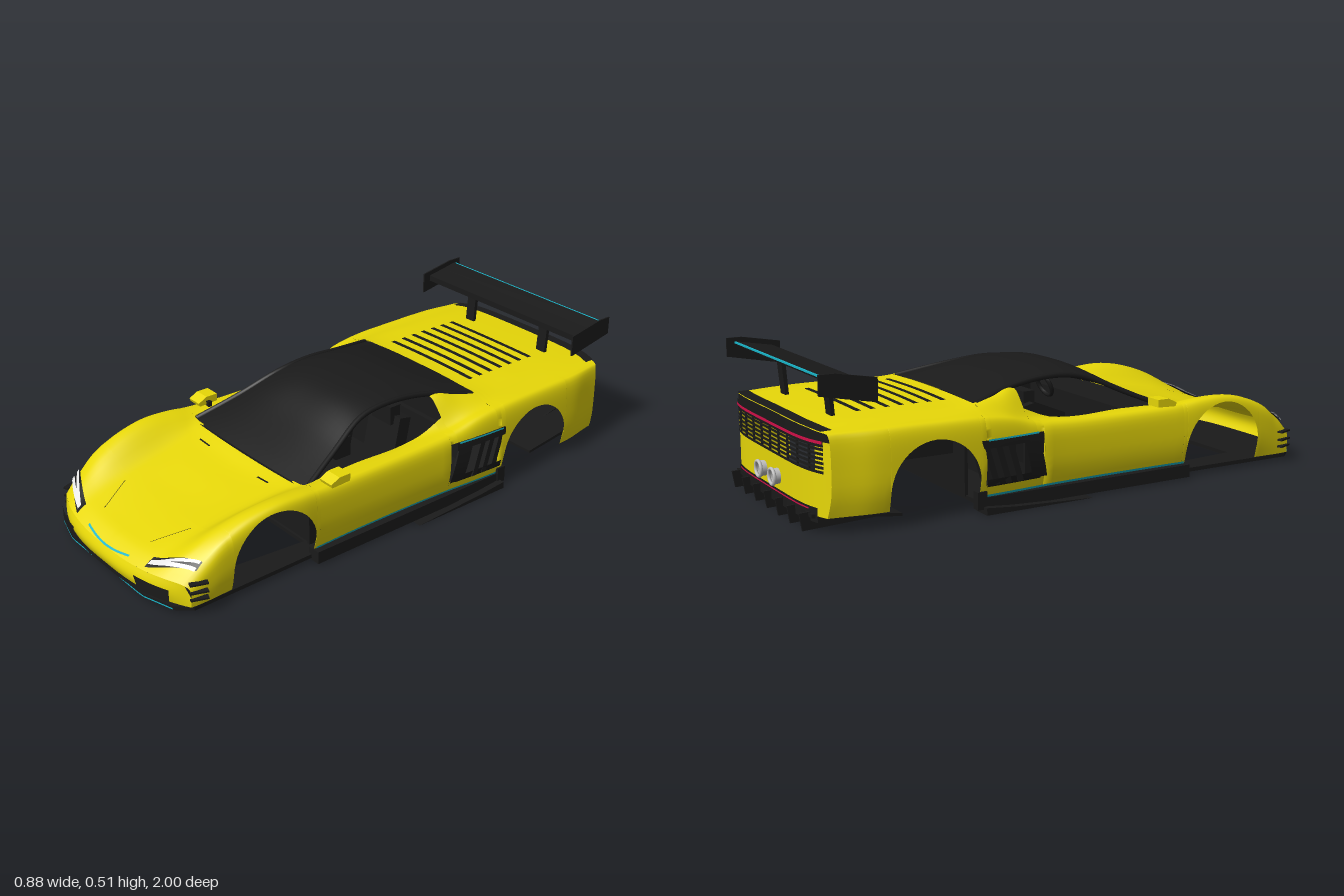
import * as THREE from 'three';

const mat = (name, color) => {
  const m = new THREE.MeshStandardMaterial({ color, side: THREE.DoubleSide });
  m.name = name;
  return m;
};
const yellow = mat('yellow paint', 0xe8d808), black = mat('black trim', 0x1a1a1a), cyan = mat('cyan accent', 0x18b4c8);
const red = mat('red light', 0xd01048), white = mat('white light', 0xe6e6e6), grey = mat('exhaust metal', 0xc0c0c0);

// Body stations: z, half width, fender crest x, crest y, inner x, inner y, centre y
const STATIONS = [
  [-0.97, 0.395, 0.37, 0.328, 0.28, 0.335, 0.338], [-0.8, 0.42, 0.38, 0.33, 0.28, 0.342, 0.345],
  [-0.6, 0.425, 0.38, 0.33, 0.28, 0.345, 0.35], [-0.4, 0.425, 0.38, 0.325, 0.30, 0.345, 0.352],
  [-0.3, 0.42, 0.375, 0.312, 0.275, 0.36, 0.36], [-0.2, 0.412, 0.36, 0.285, 0.255, 0.372, 0.37],
  [-0.1, 0.405, 0.355, 0.275, 0.26, 0.275, 0.27], [0.2, 0.40, 0.355, 0.27, 0.28, 0.27, 0.26],
  [0.4, 0.405, 0.36, 0.275, 0.29, 0.257, 0.25], [0.48, 0.41, 0.365, 0.283, 0.255, 0.24, 0.228],
  [0.58, 0.41, 0.365, 0.286, 0.24, 0.222, 0.21], [0.68, 0.405, 0.355, 0.27, 0.23, 0.205, 0.19],
  [0.78, 0.40, 0.342, 0.235, 0.22, 0.185, 0.172], [0.88, 0.395, 0.33, 0.19, 0.215, 0.16, 0.15],
  [0.95, 0.39, 0.31, 0.15, 0.21, 0.135, 0.13], [0.985, 0.385, 0.30, 0.115, 0.20, 0.112, 0.105],
];
const ROOF = [[-0.38, 0.355, 0.3, 0.342], [-0.2, 0.408, 0.245, 0.38], [-0.03, 0.425, 0.232, 0.396],
  [0.1, 0.41, 0.235, 0.38], [0.25, 0.337, 0.275, 0.315], [0.41, 0.256, 0.325, 0.25]];
const spline = (rows) => {
  const n = rows[0].length - 1;
  const c = new THREE.CubicInterpolant(rows.map((r) => r[0]), new Float32Array(rows.flatMap((r) => r.slice(1))), n);
  return (z) => Array.from(c.evaluate(z));
};
const station = spline(STATIONS), roofAt = spline(ROOF);
const lerp = THREE.MathUtils.lerp, smooth = THREE.MathUtils.smoothstep;
const range = (a, b, n) => Array.from({ length: n + 1 }, (_, i) => lerp(a, b, i / n));
const midY = (yF) => Math.min(0.17, 0.6 * yF);
const round = (r) => Math.max(0, 1 - r ** 4) ** 0.25;

// Side surface: half width at a height; top surface: height at an x
function sideX(z, y) {
  const [W, xF, yF] = station(z), ym = midY(yF);
  if (y < ym) return W - 0.03 * ((ym - y) / 0.14) ** 2;
  return xF + (W - xF) * round((y - ym) / (yF - ym));
}
function topY(z, x) {
  const [W, xF, yF, xI, yI, yC] = station(z), ym = midY(yF);
  if (x > xF) return ym + (yF - ym) * round((x - xF) / (W - xF));
  if (x > xI) return lerp(yF, yI, smooth((xF - x) / (xF - xI), 0, 1));
  return yC + (yI - yC) * (x / xI) ** 2;
}
// The ends of the body curve back towards the corners
const bend = (z, x) => z - 0.085 * smooth(z, 0.75, 0.985) * (Math.abs(x) / 0.4) ** 3
  + 0.045 * (1 - smooth(z, -0.97, -0.75)) * (Math.abs(x) / 0.4) ** 5;

export function createModel() {
  const car = new THREE.Group();
  car.name = 'sportsCarBody';
  const add = (name, geo, m) => {
    const mesh = new THREE.Mesh(geo, m);
    mesh.name = name;
    car.add(mesh);
    return mesh;
  };
  const box = (name, m, w, h, d, x, y, z) => add(name, new THREE.BoxGeometry(w, h, d).translate(x, y, z), m);
  // Smooth grid surface from a point rule
  const patch = (name, m, nu, nv, fn) => {
    const pos = [], idx = [];
    for (let i = 0; i <= nu; i++) for (let j = 0; j <= nv; j++) {
      pos.push(...fn(i / nu, j / nv, i, j));
      if (i < nu && j < nv) {
        const a = i * (nv + 1) + j, b = a + nv + 1;
        idx.push(a, b, a + 1, b, b + 1, a + 1);
      }
    }
    const g = new THREE.BufferGeometry();
    g.setAttribute('position', new THREE.Float32BufferAttribute(pos, 3));
    g.setIndex(idx);
    g.computeVertexNormals();
    add(name, g, m);
  };
  // Prism from a z,y outline, spanning x0 to x1
  const prism = (name, m, pts, x0, x1) => add(name, new THREE.ExtrudeGeometry(
    new THREE.Shape(pts.map((p) => new THREE.Vector2(...p))), { depth: x1 - x0, bevelEnabled: false })
    .rotateY(-Math.PI / 2).translate(x1, 0, 0), m);
  // Thin strip lying on the upper body
  const strip = (name, m, x0, x1, zFn, w) => patch(name, m, 16, 2, (u, v) => {
    const x = lerp(x0, x1, u), z = zFn(u) + (v - 0.5) * w;
    return [x, topY(z, Math.abs(x)) + 0.004, bend(z, x) + (z > 0.9 ? 0.003 : 0)];
  });
  // Body shell: columns of [z, lower edge], section running up the side and inwards to xEnd
  const shell = (name, s, cols, xEnd, n = 16) => patch(name, yellow, cols.length - 1, 12 + n, (u, v, i, j) => {
    const [z, lo] = cols[i], [, xF, yF] = station(z);
    let x, y;
    if (j <= 12) {
      y = lerp(lo, yF, Math.sin(j / 12 * Math.PI / 2));
      x = sideX(z, y);
    } else {
      x = lerp(xF, xEnd(z), (j - 12) / n);
      y = topY(z, x);
    }
    return [s * x, y, bend(z, x)];
  });
  const arch = (c, cy, r) => range(0, Math.PI, 24).map((a) => [c + r * Math.cos(a), cy + r * Math.sin(a)]);
  const flat = (a, b, n, lo) => range(a, b, n).map((z) => [z, lo]);
  const innerX = (z) => station(z)[3];
  const frontPt = (x, y, off) => [x, y, bend(0.985, x) + off];
  const rearPt = (x, y, off) => [x, y, bend(-0.97, x) - off];

  for (const s of [1, -1]) {
    const across = (a, b) => (s > 0 ? [a, b] : [-b, -a]);
    // Main body panels
    shell('frontFender', s, [...flat(0.985, 0.755, 12, 0.035), ...arch(0.59, 0.1, 0.165), ...flat(0.425, 0.41, 1, 0.04)], () => 0);
    shell('door', s, [...flat(0.41, -0.17, 16, 0.05), ...flat(-0.17, -0.2, 2, 0.25)], () => 0.32, 3);
    shell('rearQuarter', s, flat(-0.2, -0.38, 8, 0.25), innerX);
    shell('rearFender', s, [...flat(-0.38, -0.4, 1, 0.25), ...flat(-0.4, -0.42, 1, 0.05),
      ...arch(-0.58, 0.115, 0.16), ...flat(-0.74, -0.97, 10, 0.06)], () => 0);
    const onSide = (name, m, z0, z1, y0, y1, lean, off) => patch(name, m, 12, 4, (u, v) => {
      const y = lerp(y0, y1, v), z = lerp(z0, z1, u) - lean * v;
      return [s * (sideX(z, y) + off), y, z];
    });
    onSide('lowerSill', yellow, -0.17, -0.4, 0.05, 0.1, 0, 0);

    // Side intake with deep leaning slats
    onSide('intakeFront', black, -0.165, -0.225, 0.1, 0.245, 0.035, 0.01);
    for (let k = 0; k < 3; k++) {
      const z = -0.262 - k * 0.045;
      prism('intakeSlat', black, [[z, 0.1], [z - 0.022, 0.1], [z - 0.067, 0.25], [z - 0.045, 0.25]], ...across(0.33, 0.425));
    }
    onSide('intakeTop', black, -0.19, -0.41, 0.225, 0.252, 0, 0.01);
    onSide('intakeBottom', black, -0.19, -0.4, 0.095, 0.12, 0, 0.008);
    onSide('intakeAccent', cyan, -0.2, -0.4, 0.249, 0.255, 0, 0.011);

    // Side skirt
    box('sideSkirt', black, 0.05, 0.045, 0.83, s * 0.39, 0.035, 0.015);
    onSide('skirtAccent', cyan, 0.42, -0.395, 0.058, 0.066, 0, 0.004);
    prism('skirtFlare', black, [[0.0, 0.005], [-0.41, 0.005], [-0.41, 0.03], [-0.3, 0.02]], ...across(0.37, 0.44));
    box('skirtFin', black, 0.03, 0.06, 0.035, s * 0.405, 0.05, -0.415);

    // Headlights and front canards
    strip('headlightRecess', black, s * 0.21, s * 0.375, (u) => 0.957 - 0.036 * u, 0.038);
    for (const [dz, w] of [[0.016, 0.014], [-0.014, 0.014]]) {
      patch('headlightBar', white, 10, 1, (u, v) => {
        const x = lerp(0.218, 0.374, u), z = 0.958 - 0.036 * u + dz * u + (v - 0.5) * w;
        return [s * x, topY(z, x) + 0.008, bend(z, x) + 0.007];
      });
    }
    for (const y of [0.065, 0.09, 0.12]) {
      const c = box('canard', black, 0.02, 0.006, 0.06, 0, 0, 0);
      c.position.set(s * 0.393, y, 0.885);
      c.rotation.y = -s * 0.35;
    }
    patch('frontGrille', black, 8, 3, (u, v) => {
      const x = lerp(0.185 + 0.02 * (1 - v), 0.33, u);
      return frontPt(s * x, lerp(0.048, Math.min(0.092, topY(0.985, x) - 0.008), v), 0.02);
    });
    strip('hoodSeam', black, s * 0.2, s * 0.14, (u) => 0.78 + 0.12 * u, 0.004);
    strip('hoodVentLine', black, s * 0.14, s * 0.2, () => 0.47, 0.006);

    // Mirror
    box('mirrorArm', black, 0.04, 0.02, 0.015, s * 0.355, 0.28, 0.33);
    prism('mirror', yellow, [[0.29, 0.278], [0.29, 0.305], [0.335, 0.305], [0.37, 0.288], [0.365, 0.275]], ...across(0.35, 0.41));

    // Cabin rail and inner door
    const edge = range(0.4, -0.37, 16).map((z) => {
      const [, w, y] = roofAt(z);
      return new THREE.Vector3(s * w, y - 0.002, z);
    });
    add('roofRail', new THREE.TubeGeometry(new THREE.CatmullRomCurve3(edge), 32, 0.01, 6), black);
    box('innerDoor', black, 0.01, 0.23, 0.6, s * 0.325, 0.15, 0.1);
    box('doorAccent', cyan, 0.004, 0.008, 0.12, s * 0.318, 0.245, 0.0);

    // Seat
    box('seatBase', black, 0.17, 0.08, 0.2, s * 0.14, 0.08, 0.0);
    const back = box('seatBack', black, 0.16, 0.22, 0.05, 0, 0, 0);
    back.position.set(s * 0.14, 0.19, -0.1);
    back.rotation.x = -0.2;
    box('headrest', black, 0.1, 0.07, 0.045, s * 0.14, 0.305, -0.1);

    // Rear corner beside the grille
    patch('rearCorner', yellow, 4, 6, (u, v) => {
      const y = lerp(0.2, 0.3, v);
      return rearPt(s * lerp(0.33, sideX(-0.97, y), u), y, 0);
    });
    // Exhaust pipe
    add('exhaustPipe', new THREE.CylinderGeometry(0.026, 0.026, 0.05, 20, 1, true).rotateX(Math.PI / 2).translate(s * 0.06, 0.13, -0.968), grey);
    add('exhaustRim', new THREE.TorusGeometry(0.026, 0.006, 8, 20).translate(s * 0.06, 0.13, -0.992), grey);
    add('exhaustCore', new THREE.CircleGeometry(0.024, 20).rotateY(Math.PI).translate(s * 0.06, 0.13, -0.98), grey);

    // Wing support and end plate
    prism('wingStrut', black, [[-0.832, 0.34], [-0.845, 0.34], [-0.857, 0.47], [-0.842, 0.465]], s * 0.192 - 0.021, s * 0.192 + 0.021);
    prism('wingEndPlate', black, [[-0.77, 0.412], [-0.965, 0.45], [-0.965, 0.515], [-0.91, 0.515], [-0.77, 0.49]], s * 0.4 - 0.003, s * 0.4 + 0.003);
  }

  // Windshield, roof and rear window
  patch('cabinShell', black, 40, 16, (u, v) => {
    const z = lerp(0.41, -0.38, u), [yc, w, ye] = roofAt(z), t = v * 2 - 1;
    return [t * w, lerp(yc, ye, Math.abs(t) ** 3), z + 0.012 * (1 - t * t) * (1 - smooth(u, 0, 0.2))];
  });
  // Cockpit interior
  box('cowl', black, 0.62, 0.012, 0.05, 0, 0.247, 0.395);
  box('dashboard', black, 0.64, 0.08, 0.16, 0, 0.22, 0.3);
  box('firewall', black, 0.66, 0.21, 0.012, 0, 0.135, 0.385);
  box('cockpitRearWall', black, 0.56, 0.25, 0.02, 0, 0.15, -0.215);
  box('engineBulkhead', black, 0.56, 0.27, 0.012, 0, 0.165, -0.398);
  add('steeringWheel', new THREE.TorusGeometry(0.045, 0.008, 6, 20).rotateX(-0.4).translate(0.14, 0.28, 0.17), black);

  // Front fascia
  patch('frontFascia', yellow, 40, 8, (u, v) => {
    const [W, , yF] = station(0.985), t = u * 2 - 1, ym = midY(yF);
    const y = lerp(0.035, topY(0.985, Math.abs(t) * W), v);
    const x = t * (W - (y < ym ? 0.03 * ((ym - y) / 0.14) ** 2 : 0));
    return frontPt(x, y, 0.012 * Math.sin(Math.PI * v) * (1 - t ** 4));
  });
  patch('chinGrille', black, 12, 1, (u, v) => frontPt(lerp(-0.24, 0.24, u), lerp(0.033, 0.05, v), 0.01));
  strip('noseAccent', cyan, -0.125, 0.125, (u) => 0.97 + 0.012 * Math.sin(Math.PI * u), 0.006);

  // Floor and front splitter with an opening under the nose
  const floor = new THREE.Shape([[-0.36, -0.4], [0.36, -0.4], [0.38, 0.43], [0.385, 0.9], [0.34, 0.95], [0.22, 0.985],
    [-0.22, 0.985], [-0.34, 0.95], [-0.385, 0.9], [-0.38, 0.43]].map((p) => new THREE.Vector2(...p)));
  floor.holes.push(new THREE.Path([[-0.3, 0.4], [-0.27, 0.72], [0.27, 0.72], [0.3, 0.4]].map((p) => new THREE.Vector2(...p))));
  add('floorAndSplitter', new THREE.ExtrudeGeometry(floor, { depth: 0.014, bevelEnabled: false }).rotateX(Math.PI / 2).translate(0, 0.034, 0), black);
  box('floorKeel', black, 0.52, 0.012, 0.76, 0, 0.016, 0.0);
  patch('splitterAccent', cyan, 24, 1, (u, v) => {
    const x = lerp(-0.34, 0.34, u);
    return [x, lerp(0.024, 0.029, v), 0.988 - 0.035 * Math.max(0, (Math.abs(x) - 0.22) / 0.12)];
  });

  // Engine cover, deck louvres and rear lip
  box('engineCover', black, 0.46, 0.1, 0.3, 0, 0.22, -0.57);
  for (let k = 0; k < 7; k++) strip('deckLouvre', black, -0.215, 0.215, () => -0.445 - k * 0.051, 0.018);
  strip('deckLip', black, -0.36, 0.36, () => -0.951, 0.042);

  // Rear fascia: bumper, upper band, grille bars and lights
  patch('rearBumper', yellow, 28, 8, (u, v) => {
    const y = lerp(0.06, 0.2, v);
    return rearPt((u * 2 - 1) * sideX(-0.97, y), y, 0);
  });
  patch('rearUpperBand', black, 28, 3, (u, v) => {
    const x = (u * 2 - 1) * sideX(-0.97, 0.3);
    return rearPt(x, lerp(0.3, topY(-0.97, Math.abs(x)), v), 0);
  });
  const rearBand = (name, m, hw, y0, y1, off) => patch(name, m, 28, 1, (u, v) => rearPt(lerp(-hw, hw, u), lerp(y0, y1, v), off));
  for (let k = 0; k < 7; k++) rearBand('grilleBar', black, 0.37, 0.2 + k * 0.0145, 0.209 + k * 0.0145, 0.003);
  for (const x of range(-0.3, 0.3, 8)) box('grillePost', black, 0.006, 0.1, 0.006, x, 0.25, bend(-0.97, x));
  rearBand('lightSurround', black, 0.37, 0.284, 0.314, 0.004);
  rearBand('tailLight', red, 0.37, 0.294, 0.304, 0.007);
  rearBand('rearValance', black, 0.34, 0.04, 0.088, 0.004);
  rearBand('lowerReflector', red, 0.3, 0.078, 0.083, 0.007);

  // Diffuser with fins
  prism('diffuser', black, [[-0.66, 0.015], [-0.97, 0.055], [-0.97, 0.068], [-0.66, 0.025]], -0.33, 0.33);
  for (const x of range(-0.3, 0.3, 6)) prism('diffuserFin', black, [[-0.7, 0.02], [-0.99, 0.01], [-1, 0.068], [-0.95, 0.07]], x - 0.004, x + 0.004);

  // Rear wing
  prism('wingBlade', black, [[-0.8, 0.456], [-0.87, 0.462], [-0.93, 0.487], [-0.935, 0.502], [-0.87, 0.49], [-0.8, 0.478]], -0.4, 0.4);
  box('wingAccent', cyan, 0.78, 0.006, 0.006, 0, 0.499, -0.936);
  return car;
}
